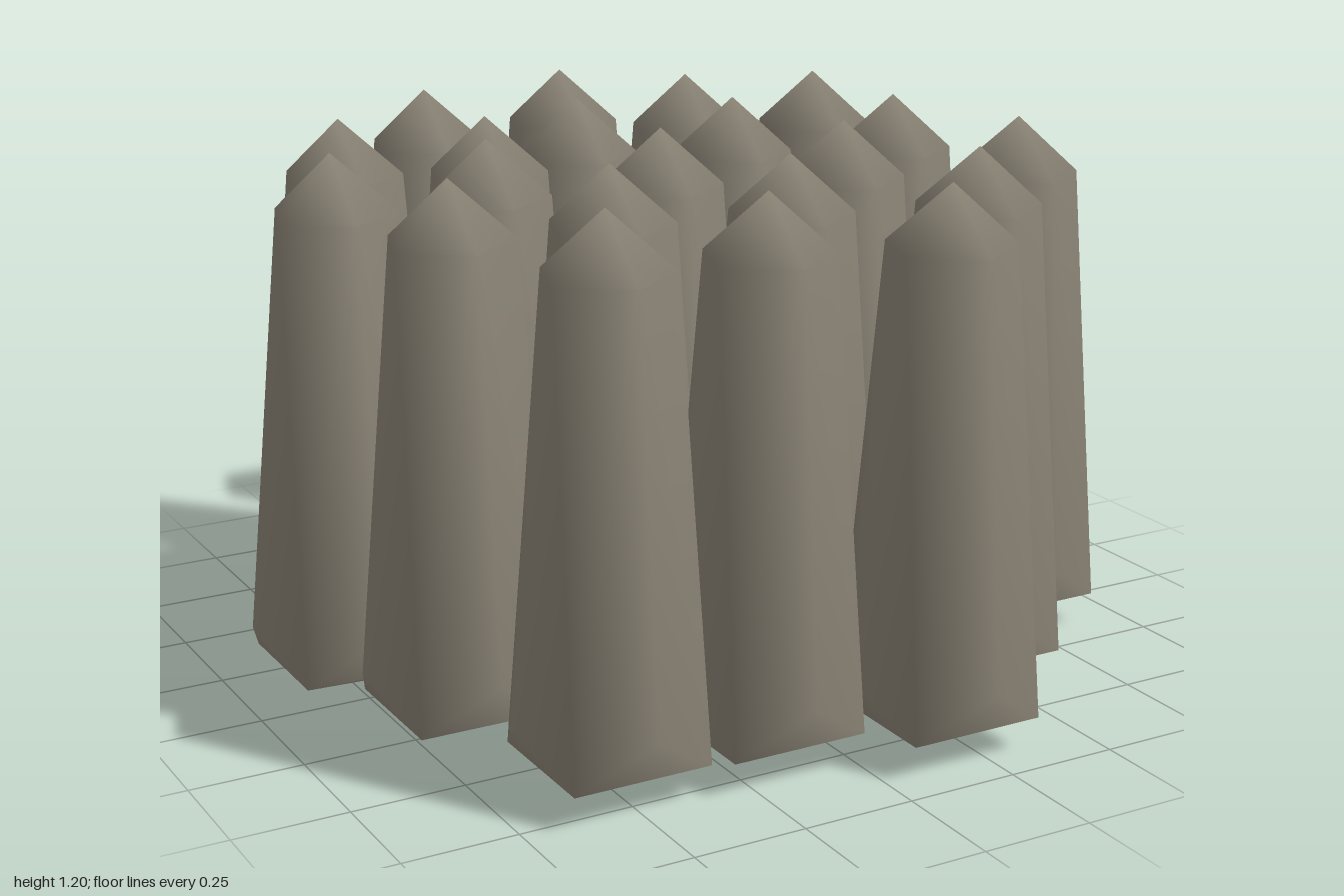
import * as THREE from 'three';
import { mergeVertices } from 'three/addons/utils/BufferGeometryUtils.js';
import { ConvexGeometry } from 'three/addons/geometries/ConvexGeometry.js';

// One tapered post: pointed tip, five-sided shoulder, eight-sided foot, off-centre base point
function postGeometry() {
  const points = [new THREE.Vector3(0, 1.2, 0), new THREE.Vector3(0.11, 0, 0)];
  for (let i = 0; i < 5; i++) {
    const a = (i * 2 * Math.PI) / 5;
    points.push(new THREE.Vector3(0.143 * Math.sin(a), 1.07, 0.138 * Math.cos(a)));
  }
  for (let i = 0; i < 8; i++) {
    const a = (i * Math.PI) / 4;
    const y = i % 2 ? 0.075 : 0.18; // diagonal corners sit lower
    points.push(new THREE.Vector3(0.218 * Math.sin(a), y, 0.212 * Math.cos(a)));
  }
  // Weld the hull so the shading is smooth
  const hull = new ConvexGeometry(points);
  hull.deleteAttribute('normal');
  const geometry = mergeVertices(hull, 1e-4);
  geometry.computeVertexNormals();
  return geometry;
}

// Post centres as x, z
const centres = [
  [0.13, -0.79], [-0.28, -0.69], [0.37, -0.58], [0.67, -0.47], [-0.6, -0.44],
  [-0.02, -0.4], [-0.3, -0.31], [0.31, -0.25], [0.66, -0.1], [-0.76, -0.09],
  [-0.41, -0.07], [-0.02, 0], [0.38, 0.12], [0.75, 0.27], [-0.65, 0.26],
  [-0.3, 0.29], [0.08, 0.38], [0.47, 0.51], [-0.5, 0.65], [-0.15, 0.67], [0.21, 0.78],
];

export function createModel() {
  const model = new THREE.Group();
  model.name = 'postCluster';
  const stone = new THREE.MeshStandardMaterial({ color: 0x8c8577 });
  stone.name = 'warm grey stone';
  const geometry = postGeometry();
  centres.forEach(([x, z], i) => {
    const post = new THREE.Mesh(geometry, stone);
    post.name = `post${i + 1}`;
    post.position.set(x, 0, z);
    model.add(post);
  });
  return model;
}
